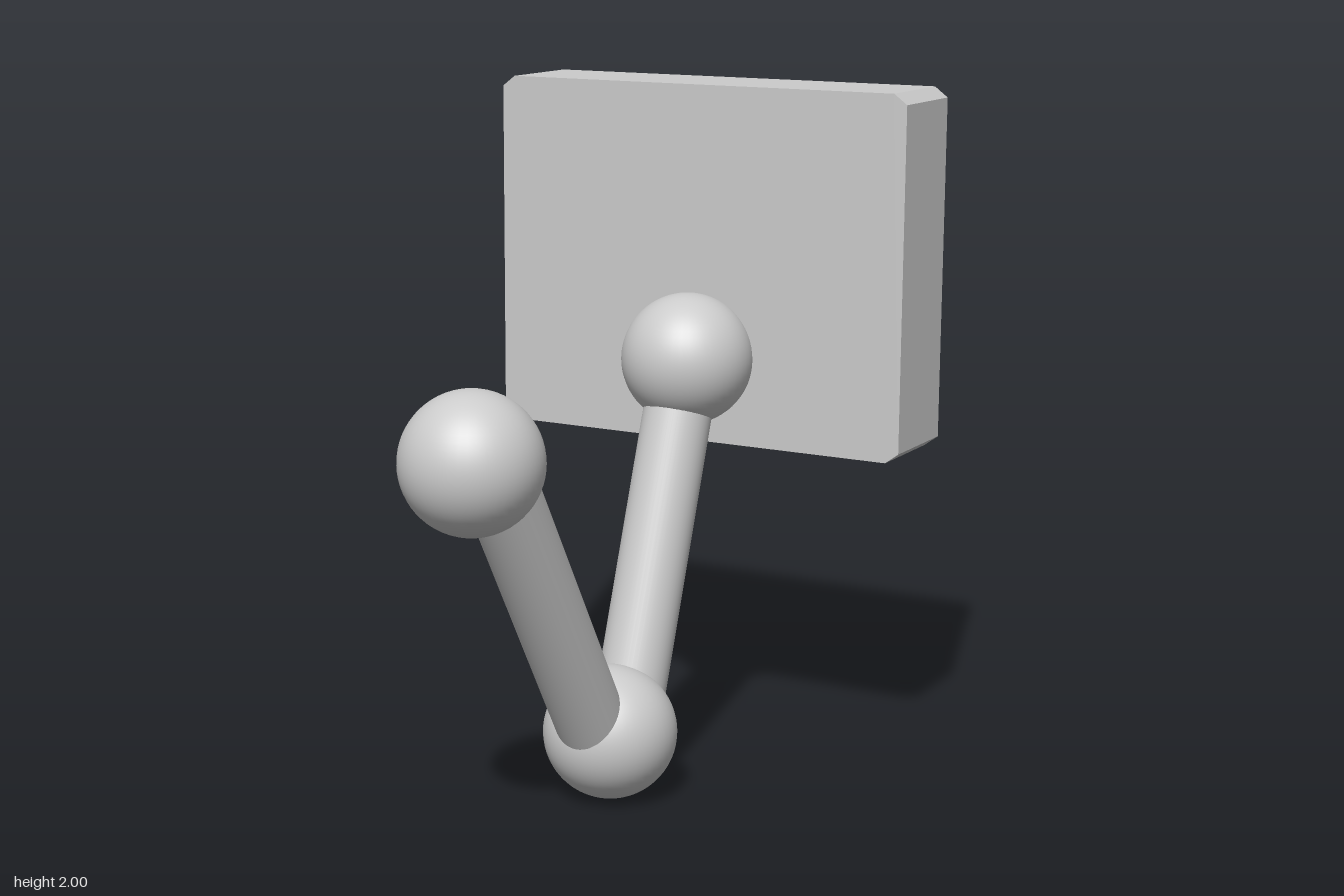
import * as THREE from 'three';

const material = new THREE.MeshStandardMaterial({ color: 0xcccccc });
const flatMaterial = new THREE.MeshStandardMaterial({ color: 0xcccccc, flatShading: true });
const AXIS_X = 0.01;

function ball(name, y, z) {
  const mesh = new THREE.Mesh(new THREE.SphereGeometry(0.193, 48, 32), material);
  mesh.position.set(AXIS_X, y, z);
  mesh.name = name;
  return mesh;
}

// Round rod between two points in the x = AXIS_X plane
function rod(name, [y0, z0], [y1, z1]) {
  const a = new THREE.Vector3(AXIS_X, y0, z0);
  const b = new THREE.Vector3(AXIS_X, y1, z1);
  const dir = b.clone().sub(a);
  const mesh = new THREE.Mesh(new THREE.CylinderGeometry(0.101, 0.101, dir.length(), 48), material);
  mesh.position.copy(a).add(b).multiplyScalar(0.5);
  mesh.quaternion.setFromUnitVectors(new THREE.Vector3(0, 1, 0), dir.normalize());
  mesh.name = name;
  return mesh;
}

// Chamfered block whose back is hollowed by sloping sides down to a flat floor
function headGeometry() {
  const W = 0.66, H = 0.525, cx = 0.04, cy = 0.03; // outer half sizes and chamfer
  const w = 0.435, h = 0.37;                        // half sizes of the floor
  const front = -0.565, back = -0.85, floor = -0.71;
  const pos = [];
  const face = (...p) => {
    for (let i = 1; i < p.length - 1; i++) pos.push(...p[0], ...p[i], ...p[i + 1]);
  };

  // Outline, counter-clockwise from the front
  const outline = [
    [W, -H + cy], [W, H - cy], [W - cx, H], [-W + cx, H],
    [-W, H - cy], [-W, -H + cy], [-W + cx, -H], [W - cx, -H],
  ];
  face(...outline.map(([x, y]) => [x, y, front]));
  outline.forEach(([x, y], i) => {
    const [u, v] = outline[(i + 1) % 8];
    face([x, y, front], [x, y, back], [u, v, back], [u, v, front]);
  });

  // Floor and sloping walls of the hollow, facing -z
  face([w, -h, floor], [-w, -h, floor], [-w, h, floor], [w, h, floor]);
  for (const s of [1, -1]) {
    // side wall, then top or bottom wall (a half turn maps one to the other)
    face([s * W, -s * h, back], [s * w, -s * h, floor], [s * w, s * h, floor], [s * W, s * h, back]);
    face([s * w, s * h, floor], [-s * w, s * h, floor], [s * (cx - W), s * H, back], [s * (W - cx), s * H, back]);
    for (const t of [1, -1]) {
      // corner pieces, wound by quadrant
      const wind = (...p) => face(...(s * t > 0 ? p : p.reverse()));
      wind([s * w, t * h, floor], [s * (W - cx), t * H, back], [s * W, t * h, back]);
      wind([s * W, t * h, back], [s * (W - cx), t * H, back], [s * W, t * (H - cy), back]);
    }
  }

  const geometry = new THREE.BufferGeometry();
  geometry.setAttribute('position', new THREE.Float32BufferAttribute(pos, 3));
  geometry.computeVertexNormals();
  return geometry;
}

export function createModel() {
  const group = new THREE.Group();
  group.name = 'jointedArm';

  // Two rods in a V, joined by balls
  group.add(
    ball('frontJoint', 1.122, 0.66),
    ball('lowerJoint', 0.193, -0.052),
    ball('rearJoint', 1.208, -0.5),
    rod('frontRod', [0.2, 0.026], [1.12, 0.58]),
    rod('rearRod', [0.2, -0.144], [1.2, -0.494]),
  );

  // Block at the end of the arm
  const head = new THREE.Mesh(headGeometry(), flatMaterial);
  head.position.y = 1.475;
  head.name = 'hollowHead';
  group.add(head);
  return group;
}
